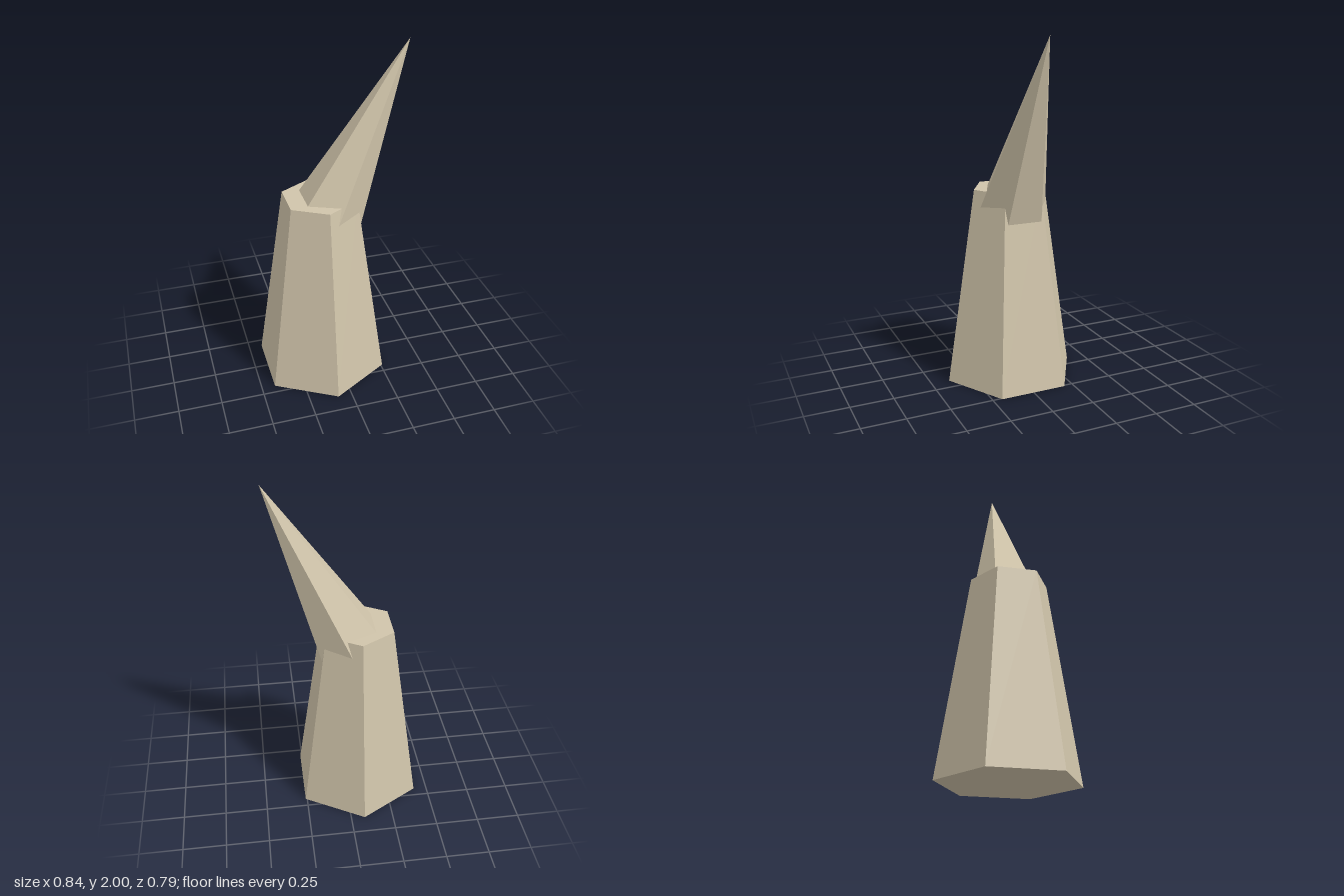
import * as THREE from 'three';

export function createModel() {
  const model = new THREE.Group();
  model.name = 'bentSpike';

  const bone = new THREE.MeshStandardMaterial({ color: 0xd0c4aa });
  bone.name = 'bone';

  // Solid six-sided part with hard facets
  function addHexPart(name, topRadius, bottomRadius, height) {
    const geometry = new THREE.CylinderGeometry(topRadius, bottomRadius, height, 6).toNonIndexed();
    geometry.computeVertexNormals();
    const mesh = new THREE.Mesh(geometry, bone);
    mesh.name = name;
    model.add(mesh);
    return mesh;
  }

  // Tapered base standing on the ground
  const baseHeight = 1.14;
  const base = addHexPart('base', 0.22, 0.393, baseHeight);
  base.position.set(-0.081, baseHeight / 2, 0);

  // Pointed tip, leaning to the left and sunk into the base
  const root = new THREE.Vector3(-0.03, 1.04, 0);
  const apex = new THREE.Vector3(0.418, 2, 0);
  const axis = apex.clone().sub(root);
  const tip = addHexPart('tip', 0, 0.204, axis.length());
  tip.position.copy(root).add(apex).multiplyScalar(0.5);
  tip.rotation.z = -Math.atan2(axis.x, axis.y);

  return model;
}
